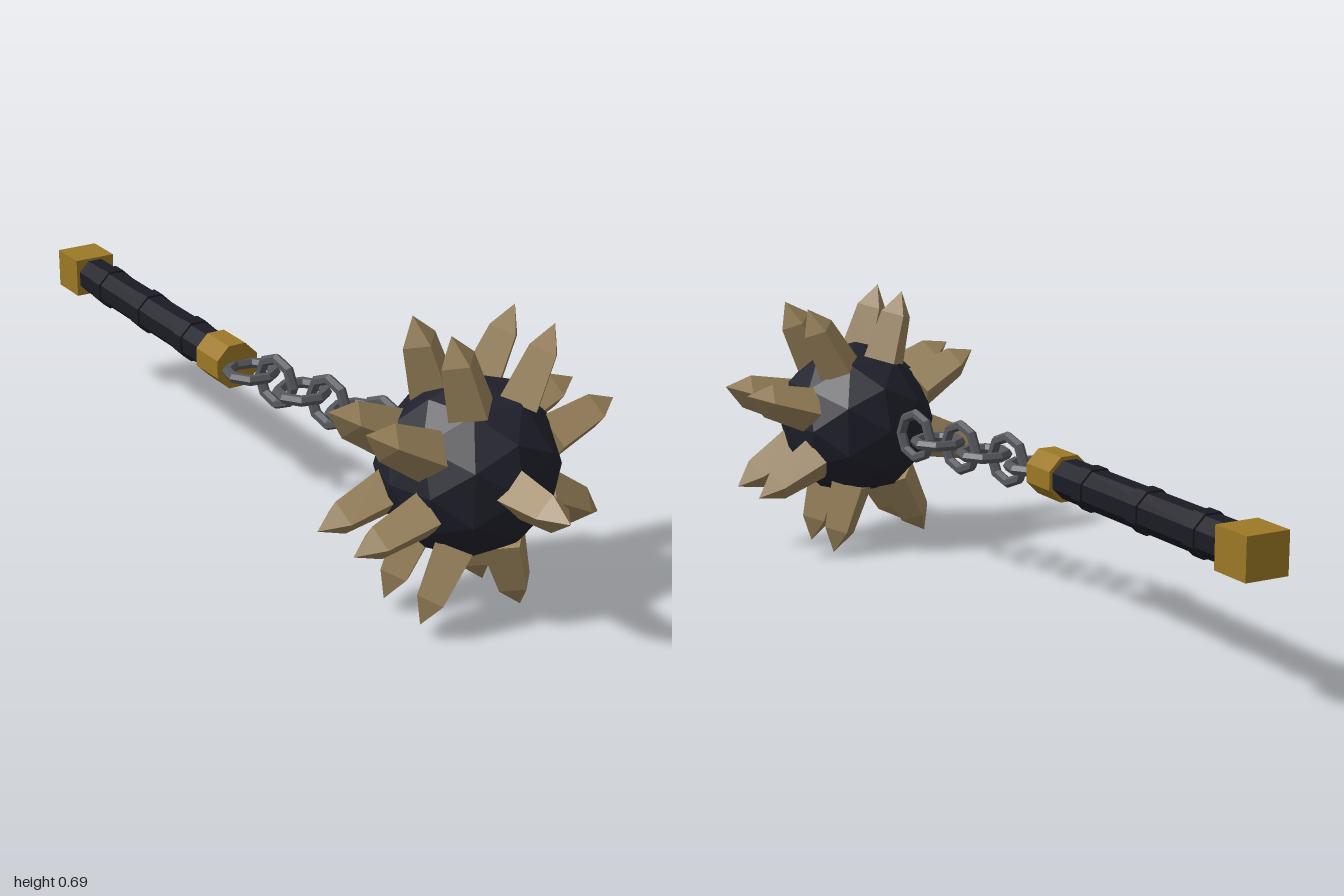
import * as THREE from 'three';

const material = (name, color) => {
  const m = new THREE.MeshStandardMaterial({ color, flatShading: true });
  m.name = name;
  return m;
};

export function createModel() {
  const ballIron = material('ball iron', 0x20212c);
  const grip = material('dark grip', 0x1a1b24);
  const bone = material('spike tan', 0x9a835b);
  const steel = material('chain steel', 0x56585e);
  const gold = material('gold', 0x9c7826);

  const model = new THREE.Group();
  model.name = 'flail';
  const add = (parent, name, geometry, mat, x, y, z) => {
    const mesh = new THREE.Mesh(geometry, mat);
    mesh.name = name;
    mesh.position.set(x, y, z);
    parent.add(mesh);
    return mesh;
  };
  const Y = 0.347;

  // Faceted ball head
  const head = new THREE.Group();
  head.name = 'spikedHead';
  head.position.set(0, Y, 0.64);
  model.add(head);
  add(head, 'ball', new THREE.IcosahedronGeometry(0.207, 1), ballIron, 0, 0, 0);

  // Four-sided spikes: two rings of eight and one at the front
  const spike = new THREE.LatheGeometry(
    [[0, 0], [0.06, 0], [0.044, 0.128], [0, 0.19]].map(p => new THREE.Vector2(...p)), 4);
  const base = 0.17;
  for (const z of [-0.07, 0.072]) {
    for (let i = 0; i < 8; i++) {
      const a = THREE.MathUtils.degToRad(17 + i * 45);
      add(head, 'sideSpike', spike, bone, base * Math.cos(a), base * Math.sin(a), z)
        .rotation.z = a - Math.PI / 2;
    }
  }
  add(head, 'frontSpike', spike, bone, 0, 0, base).rotation.x = Math.PI / 2;

  // Chain of links, alternately flat and upright, slanting toward the head
  const link = new THREE.TorusGeometry(0.058, 0.0135, 6, 8);
  const chain = new THREE.Group();
  chain.name = 'chain';
  chain.position.set(-0.13, Y, -0.07);
  chain.rotation.y = Math.atan(0.216);
  model.add(chain);
  for (let i = 0; i < 6; i++) {
    const mesh = add(chain, 'chainLink', link, steel, 0, 0, i * 0.0885);
    if (i % 2) mesh.rotation.y = Math.PI / 2;
    else mesh.rotation.x = Math.PI / 2;
  }

  // Octagonal handle parts lie along z
  const handle = new THREE.Group();
  handle.name = 'handle';
  handle.position.set(-0.14, Y, 0);
  model.add(handle);
  const prism = (name, radius, z0, z1, mat) => {
    const g = new THREE.CylinderGeometry(radius, radius, z1 - z0, 8);
    g.rotateY(Math.PI / 8);
    g.rotateX(Math.PI / 2);
    add(handle, name, g, mat, 0, 0, (z0 + z1) / 2);
  };
  prism('gripShaft', 0.05, -0.9, -0.2, grip);
  for (const z of [-0.785, -0.565, -0.335]) {
    prism('gripBand', 0.055, z - 0.02, z + 0.02, grip);
  }
  prism('collar', 0.06, -0.225, -0.12, gold);
  add(handle, 'pommel', new THREE.BoxGeometry(0.11, 0.1, 0.11), gold, 0, 0.003, -0.945);

  return model;
}
